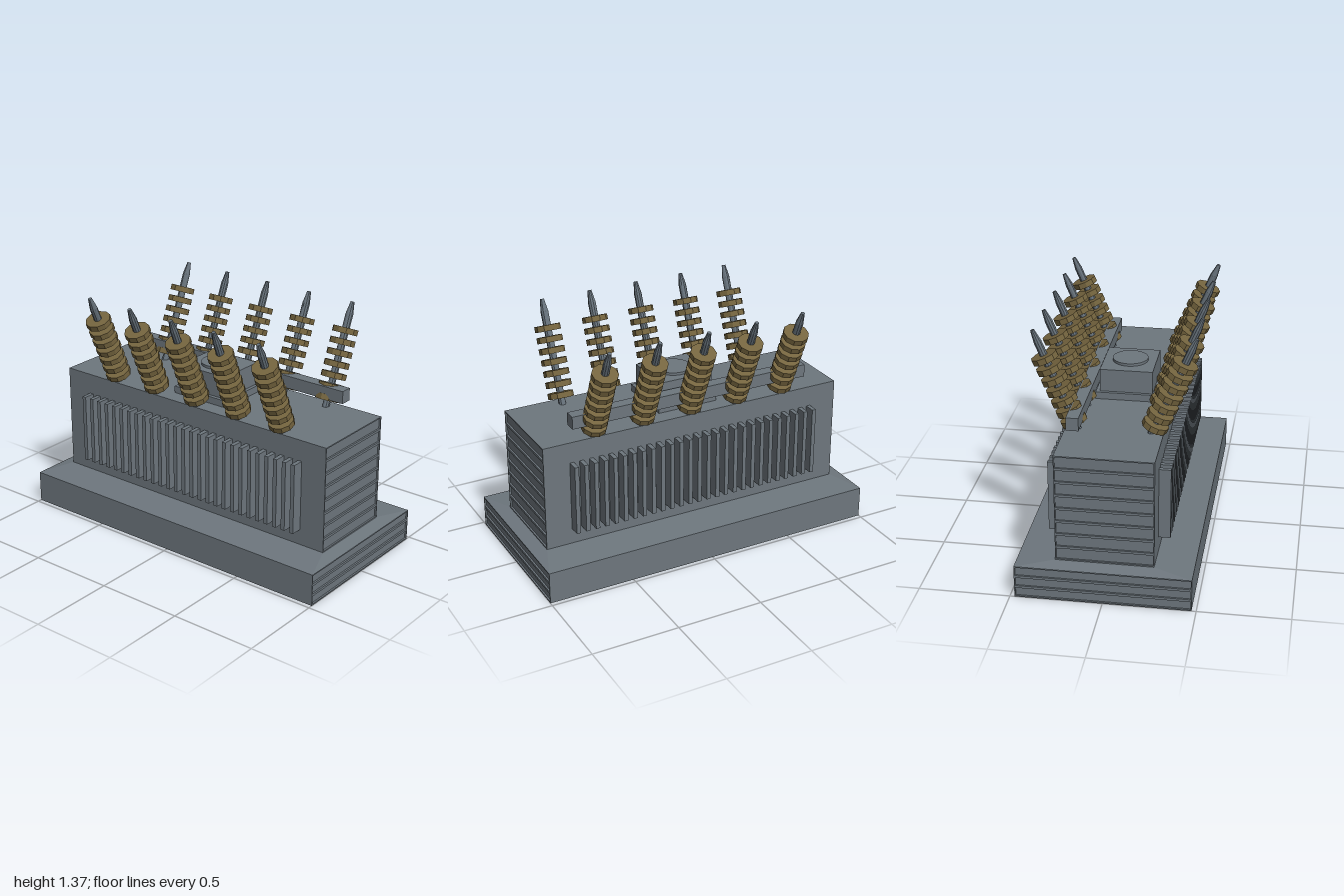
import * as THREE from 'three';

const steel = new THREE.MeshStandardMaterial({ color: 0x6e777e });
steel.name = 'grey steel';
const rodMetal = new THREE.MeshStandardMaterial({ color: 0x66717a, flatShading: true });
rodMetal.name = 'rod metal';
const ceramic = new THREE.MeshStandardMaterial({ color: 0x75653f, flatShading: true });
ceramic.name = 'brown ceramic';

function add(parent, name, geometry, material, x = 0, y = 0, z = 0) {
  const mesh = new THREE.Mesh(geometry, material);
  mesh.name = name;
  mesh.position.set(x, y, z);
  parent.add(mesh);
  return mesh;
}

// Box given by its lower and upper corners
function block(parent, name, [x0, y0, z0], [x1, y1, z1]) {
  return add(parent, name, new THREE.BoxGeometry(x1 - x0, y1 - y0, z1 - z0), steel,
    (x0 + x1) / 2, (y0 + y1) / 2, (z0 + z1) / 2);
}

// Body whose two ends carry a row of shallow recessed panels
function panelledBody(parent, name, halfX, halfZ, y0, y1, count) {
  const depth = 0.01;
  block(parent, name, [-halfX + depth, y0, -halfZ], [halfX - depth, y1, halfZ]);
  const frame = new THREE.Shape([
    new THREE.Vector2(-halfZ, y0), new THREE.Vector2(halfZ, y0),
    new THREE.Vector2(halfZ, y1), new THREE.Vector2(-halfZ, y1),
  ]);
  const pitch = (y1 - y0) / count;
  const w = halfZ - 0.006;
  for (let i = 0; i < count; i++) {
    const a = y0 + i * pitch + 0.007;
    const b = y0 + (i + 1) * pitch - 0.007;
    frame.holes.push(new THREE.Path([
      new THREE.Vector2(-w, a), new THREE.Vector2(-w, b),
      new THREE.Vector2(w, b), new THREE.Vector2(w, a),
    ]));
  }
  const geometry = new THREE.ExtrudeGeometry(frame, { depth, bevelEnabled: false });
  for (const side of [1, -1]) {
    const mesh = add(parent, name + 'EndFrame', geometry, steel, side * (halfX - depth), 0, 0);
    mesh.rotation.y = side * Math.PI / 2;
  }
}

// Rod with a tapered tip and a stack of insulator discs, along +y
function createBushing() {
  const bushing = new THREE.Group();
  bushing.name = 'bushing';
  const profile = [[0, -0.02], [0.02, -0.02], [0.022, 0.5], [0.022, 0.525], [0.011, 0.595], [0, 0.595]]
    .map(([r, y]) => new THREE.Vector2(r, y));
  add(bushing, 'rod', new THREE.LatheGeometry(profile, 10), rodMetal);
  const disc = new THREE.CylinderGeometry(0.073, 0.073, 0.033, 10);
  for (let i = 0; i < 7; i++) add(bushing, 'insulatorDisc', disc, ceramic, 0, 0.05 + i * 0.0635, 0);
  return bushing;
}

export function createModel() {
  const model = new THREE.Group();
  model.name = 'transformer';

  // Plinth with a shallow sloped top
  panelledBody(model, 'plinth', 1, 0.475, 0, 0.185, 3);
  const slope = new THREE.BoxGeometry(2, 0.015, 0.95);
  const p = slope.attributes.position;
  for (let i = 0; i < p.count; i++) {
    if (p.getY(i) > 0) p.setXYZ(i, Math.sign(p.getX(i)) * 0.92, p.getY(i), Math.sign(p.getZ(i)) * 0.265);
  }
  slope.computeVertexNormals();
  add(model, 'plinthSlope', slope, steel, 0, 0.1925, 0);

  // Tank with cooling fins on both long sides
  panelledBody(model, 'tank', 0.92, 0.265, 0.2, 0.815, 8);
  const fin = new THREE.BoxGeometry(0.024, 0.405, 0.075);
  for (const side of [1, -1]) {
    for (let i = 0; i < 27; i++) {
      add(model, 'coolingFin', fin, steel, -0.745 + i * 0.0577, 0.4925, side * 0.2925);
    }
  }

  // Turret on top
  block(model, 'turretBase', [-0.185, 0.815, -0.17], [0.18, 0.855, 0.17]);
  block(model, 'turret', [-0.165, 0.855, -0.148], [0.16, 0.985, 0.148]);
  add(model, 'turretCap', new THREE.CylinderGeometry(0.1, 0.1, 0.015, 32), steel, 0, 0.9925, 0);

  // Bar behind the turret
  block(model, 'crossBar', [-0.73, 0.872, -0.233], [0.73, 0.945, -0.165]);

  // Two rows of bushings leaning outward
  for (const side of [1, -1]) {
    for (let i = 0; i < 5; i++) {
      const bushing = createBushing();
      bushing.position.set(-0.57 + i * 0.292, 0.815, side * 0.2);
      bushing.rotation.x = side * THREE.MathUtils.degToRad(23);
      model.add(bushing);
    }
  }
  return model;
}
